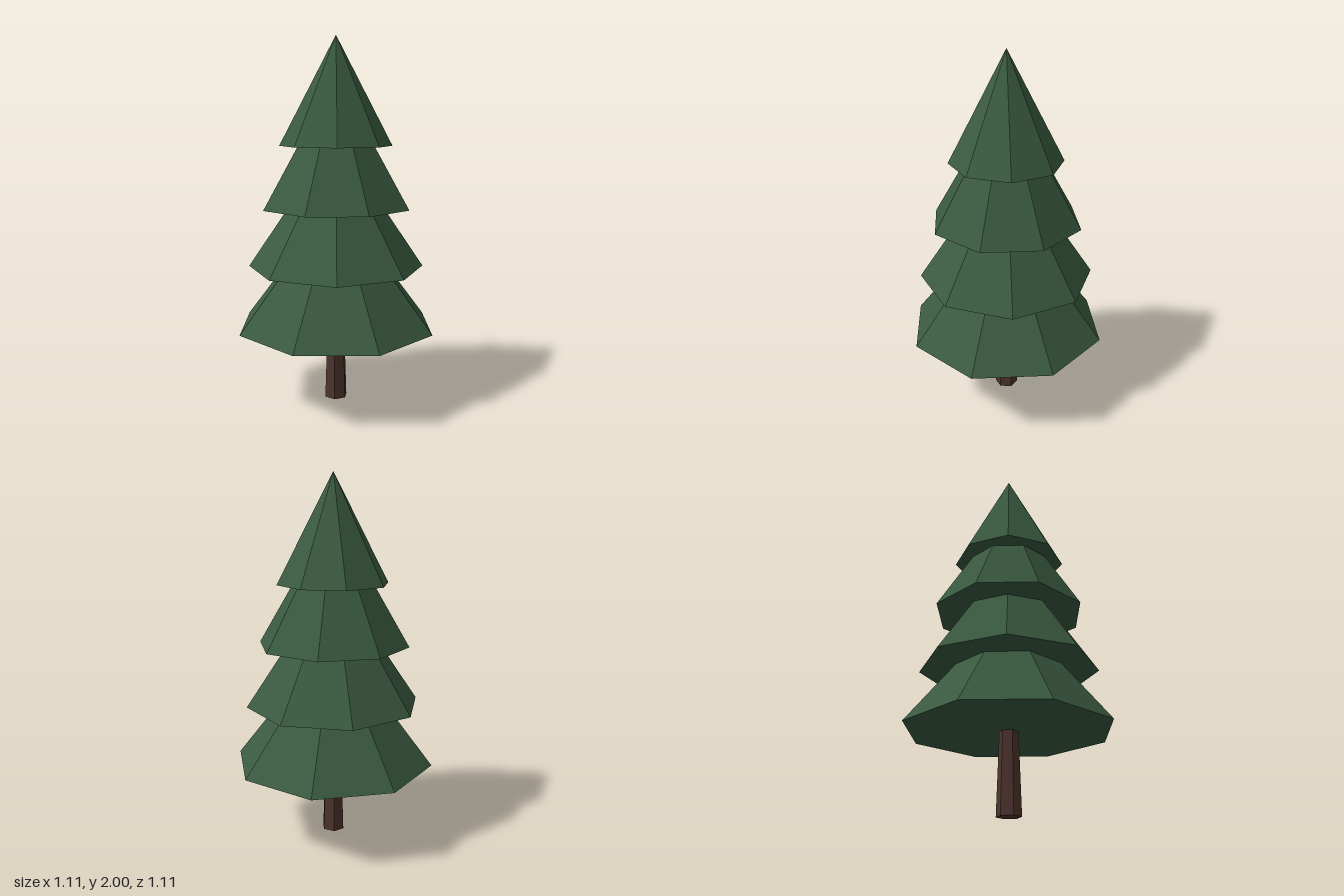
import * as THREE from 'three';

// Low-poly conifer: tapered hexagonal trunk under four stacked octagonal cones.
export function createModel() {
  const tree = new THREE.Group();
  tree.name = 'pineTree';

  const needles = new THREE.MeshStandardMaterial({ color: 0x3a5a40, flatShading: true });
  needles.name = 'needleGreen';
  const bark = new THREE.MeshStandardMaterial({ color: 0x4e342e, flatShading: true });
  bark.name = 'barkBrown';

  // Trunk, with corners on the x axis, running up into the lowest tier
  const trunkHeight = 0.55;
  const trunk = new THREE.Mesh(new THREE.CylinderGeometry(0.046, 0.065, trunkHeight, 6), bark);
  trunk.name = 'trunk';
  trunk.position.y = trunkHeight / 2;
  trunk.rotation.y = Math.PI / 6;
  tree.add(trunk);

  // Foliage tiers, bottom to top; alternate tiers turn by half a side
  const tiers = [
    { radius: 0.555, base: 0.425, height: 0.713 },
    { radius: 0.481, base: 0.758, height: 0.71 },
    { radius: 0.415, base: 1.088, height: 0.705 },
    { radius: 0.306, base: 1.42, height: 0.58 },
  ];
  tiers.forEach(({ radius, base, height }, i) => {
    const tier = new THREE.Mesh(new THREE.ConeGeometry(radius, height, 8), needles);
    tier.name = `foliageTier${i + 1}`;
    tier.position.y = base + height / 2;
    tier.rotation.y = (i % 2) * (Math.PI / 8) + i * 0.006;
    tree.add(tier);
  });

  return tree;
}
